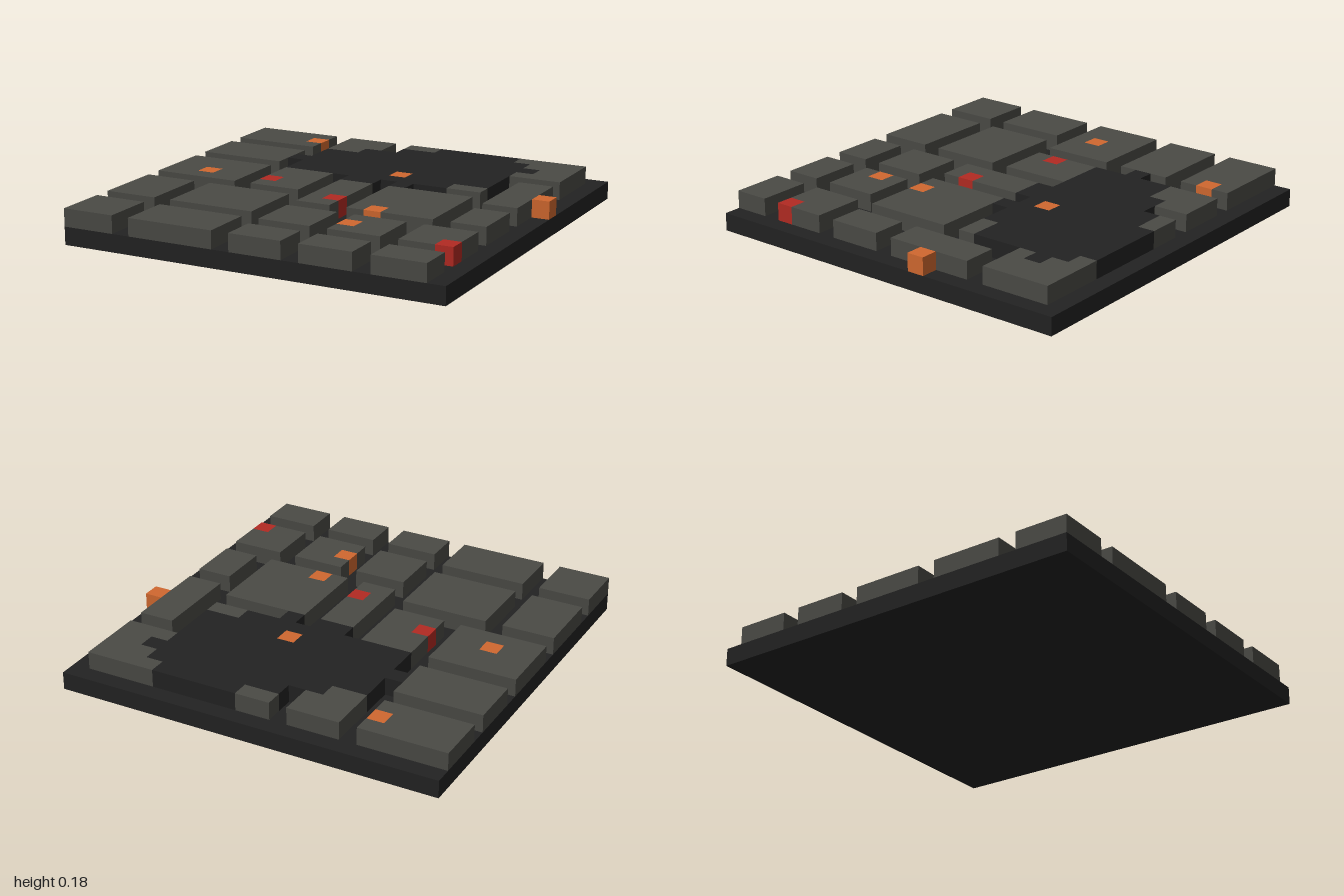
import * as THREE from 'three';

const U = 1 / 11; // one grid cell; the tile is 22 x 22 cells and two layers high

const mat = (name, color) => {
  const m = new THREE.MeshStandardMaterial({ color });
  m.name = name;
  return m;
};

// Rectangles are [x0, x1, z0, z1] in cells from the centre.
// Paving stones, each made of one or more rectangles.
const STONES = [
  // back left
  [[-11, -6, -10, -7]],
  [[-11, -6, -6, -3]],
  [[-5, -2, -10, -8], [-5, -3, -8, -7]],
  // middle and front left
  [[-11, -6, -2, 2]],
  [[-5, -2, -2, 2]],
  [[-11, -8, 3, 7]],
  [[-7, -2, 3, 7]],
  [[-11, -8, 8, 11]],
  [[-7, -2, 8, 11]],
  // remnants around the scorched patch
  [[-1, 1, -10, -9]],
  [[5, 7, -3, -2]],
  [[6, 10, -10, -9], [7, 10, -9, -8], [8, 10, -8, -7], [7, 10, -7, -6]],
  // right side
  [[8, 10, -5, 0]],
  [[8, 10, 1, 4]],
  [[-1, 1, -1, 4]],
  [[2, 7, -1, 4]],
];
// regular rows of small stones at the front right
for (const [z0, z1] of [[5, 8], [9, 11]])
  for (const x of [-1, 3, 7]) STONES.push([[x, x + 3, z0, z1]]);

// Scorched patch, row by row
const SCORCH = [
  [1, 6, -10, -9], [-1, 7, -9, -8], [-3, 8, -8, -7], [-5, 7, -7, -5],
  [-6, 7, -5, -4], [-5, 7, -4, -3], [-5, 5, -3, -2], [-1, 1, -2, -1], [2, 3, -2, -1],
];

// Single glowing cells [x, z]
const ORANGE = [[-7, -9], [1, -4], [10, -3], [-9, 0], [3, 3], [3, 6]];
const RED = [[-5, 0], [0, 2], [9, 7]];

// Split a rectangle around a single cell so the cell can be filled separately
function cutCell([x0, x1, z0, z1], [cx, cz]) {
  if (cx < x0 || cx >= x1 || cz < z0 || cz >= z1) return [[x0, x1, z0, z1]];
  return [
    [x0, x1, z0, cz], [x0, x1, cz + 1, z1],
    [x0, cx, cz, cz + 1], [cx + 1, x1, cz, cz + 1],
  ].filter(([a, b, c, d]) => b > a && d > c);
}

function block([x0, x1, z0, z1], layer, material, name) {
  const mesh = new THREE.Mesh(new THREE.BoxGeometry((x1 - x0) * U, U, (z1 - z0) * U), material);
  mesh.position.set((x0 + x1) / 2 * U, (layer + 0.5) * U, (z0 + z1) / 2 * U);
  mesh.name = name;
  return mesh;
}

// A top-layer piece with openings left for the glowing cells
function slab(rects, material, name) {
  const group = new THREE.Group();
  group.name = name;
  for (const cell of [...ORANGE, ...RED]) rects = rects.flatMap(r => cutCell(r, cell));
  rects.forEach(r => group.add(block(r, 1, material, name + 'Piece')));
  return group;
}

export function createModel() {
  const stone = mat('stone grey', 0x4a4a45);
  const char = mat('charred black', 0x222222);
  const orange = mat('ember orange', 0xd0682f);
  const red = mat('ember red', 0xb22a22);

  const model = new THREE.Group();
  model.name = 'scorchedFloorTile';
  model.add(block([-11, 11, -11, 11], 0, char, 'base'));
  STONES.forEach((rects, i) => model.add(slab(rects, stone, 'pavingStone' + (i + 1))));
  model.add(slab(SCORCH, char, 'scorchedPatch'));
  for (const [x, z] of ORANGE) model.add(block([x, x + 1, z, z + 1], 1, orange, 'orangeEmber'));
  for (const [x, z] of RED) model.add(block([x, x + 1, z, z + 1], 1, red, 'redEmber'));
  return model;
}
